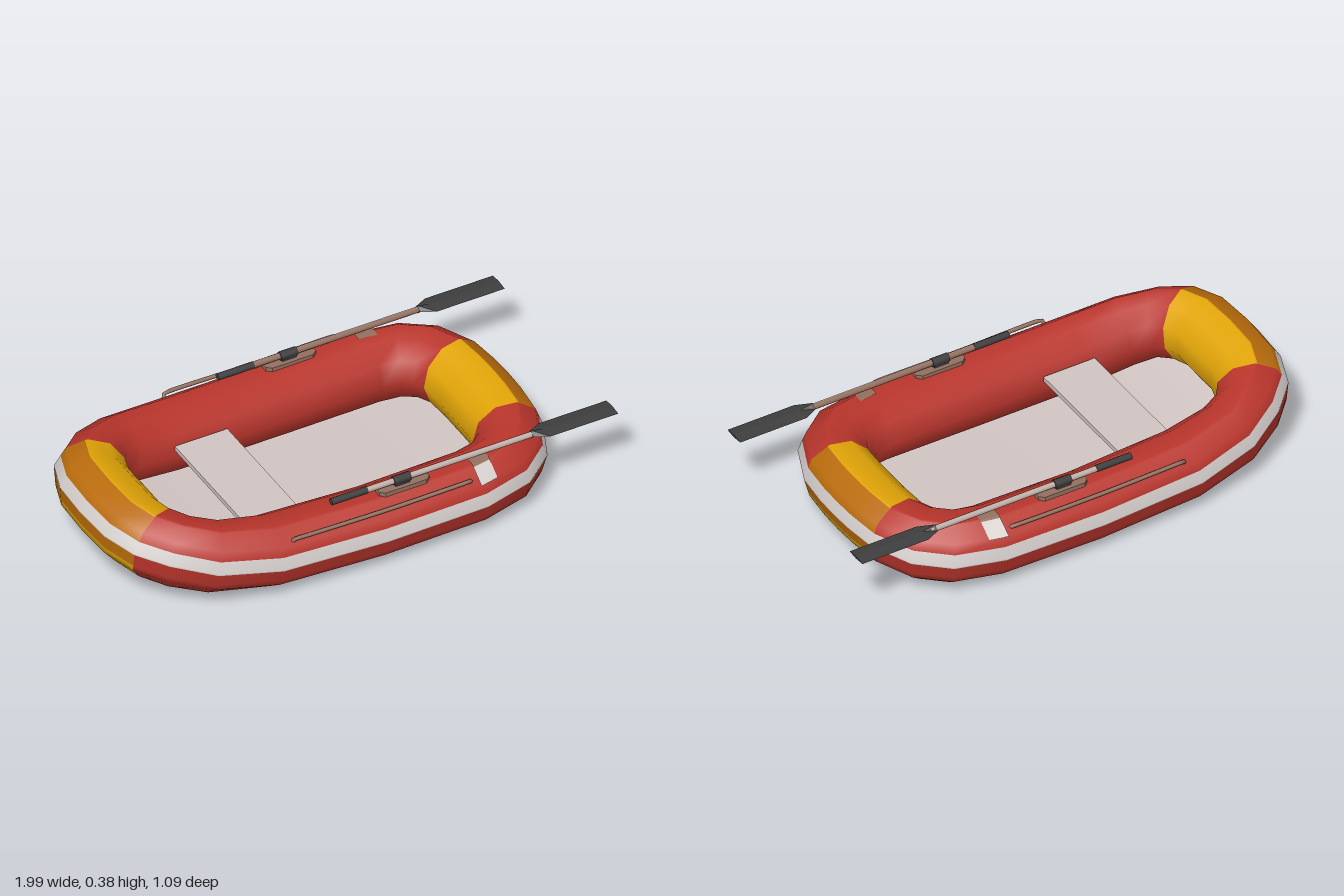
import * as THREE from 'three';

const mat = (name, color, side = THREE.FrontSide) => {
  const m = new THREE.MeshStandardMaterial({ color, side });
  m.name = name;
  return m;
};
const RAD = Math.PI / 180;
const R = 0.14; // tube half height

// Half outline from bow to stern: outer x, outer z, inner x, inner z
const half = [
  [-1, 0, -0.71, 0], [-0.99, 0.17, -0.712, 0.12], [-0.94, 0.305, -0.695, 0.18],
  [-0.84, 0.4, -0.665, 0.225], [-0.68, 0.485, -0.6, 0.245], [-0.43, 0.53, -0.42, 0.257],
  [0, 0.545, 0, 0.27], [0.42, 0.543, 0.42, 0.267], [0.62, 0.5, 0.49, 0.255],
  [0.745, 0.4, 0.53, 0.225], [0.818, 0.236, 0.55, 0.185], [0.833, 0.1, 0.555, 0.08], [0.836, 0, 0.555, 0],
];
const ring = [...half, ...half.slice(1, -1).reverse().map(([a, b, c, d]) => [a, -b, c, -d])];

// Height of the tube's centre line along the boat
const rise = [[-1, 0.283], [-0.86, 0.245], [-0.65, 0.187], [-0.45, 0.153], [0, 0.14], [0.45, 0.145], [0.69, 0.16], [1, 0.175]];
function centreY(x) {
  let i = 0;
  while (i < rise.length - 2 && x > rise[i + 1][0]) i++;
  const [[x0, y0], [x1, y1]] = [rise[i], rise[i + 1]];
  return y0 + ((y1 - y0) * (x - x0)) / (x1 - x0);
}

// Point of a station's section: out = share of half width, up = height; tilted with the rise
function sectionPoint([ox, oz, ix, iz], out, up) {
  const cx = (ox + ix) / 2, cz = (oz + iz) / 2;
  const tilt = Math.atan((centreY(cx + 0.06) - centreY(cx - 0.06)) / 0.12);
  const dx = ((ox - ix) / 2) * out, dz = ((oz - iz) / 2) * out;
  const c = Math.cos(tilt), s = Math.sin(tilt);
  return [cx + dx * c - up * s, centreY(cx) + dx * s + up * c, cz + dz];
}

// Point on a ten-sided section, with corners every 36 degrees
function decagon(deg) {
  const k = Math.floor(deg / 36), t = deg / 36 - k;
  const a = k * 36 * RAD, b = (k + 1) * 36 * RAD;
  return [Math.cos(a) * (1 - t) + Math.cos(b) * t, Math.sin(a) * (1 - t) + Math.sin(b) * t];
}

function surface(pos, idx) {
  const g = new THREE.BufferGeometry();
  g.setAttribute('position', new THREE.Float32BufferAttribute(pos, 3));
  g.setIndex(idx);
  g.computeVertexNormals();
  return g;
}

// Closed tube, with one geometry group per colour
function tubeGeometry() {
  const angles = [-144, -108, -72, -36, -26, -3, 0, 20, 36, 68, 72, 108, 144, 180];
  const n = angles.length, m = ring.length;
  const pos = [], faces = [[], [], [], []];
  ring.forEach((st) => angles.forEach((a) => {
    const [o, u] = decagon(a);
    pos.push(...sectionPoint(st, o, u * R));
  }));
  for (let i = 0; i < m; i++) {
    const patch = i < 2 || i >= m - 2 || (i >= 10 && i < 14);
    for (let j = 0; j < n; j++) {
      const from = angles[j];
      let colour = patch ? 1 : 0;
      if (patch && from >= -26 && from < 68) colour = 2;
      if (from >= -3 && from < 20) colour = 3;
      const i2 = (i + 1) % m, j2 = (j + 1) % n;
      const a = i * n + j, b = i2 * n + j, c = i2 * n + j2, d = i * n + j2;
      faces[colour].push(a, b, c, a, c, d);
    }
  }
  const g = surface(pos, faces.flat());
  let start = 0;
  faces.forEach((f, k) => { g.addGroup(start, f.length, k); start += f.length; });
  return g;
}

// Floor sheet between matching stations of both sides, facing up (1) or down (-1)
function floorGeometry(up, facing) {
  const pos = [], idx = [];
  half.forEach((st) => {
    const [x, y, z] = sectionPoint(st, -0.24, up);
    pos.push(x, y, z * facing, x, y, -z * facing);
  });
  for (let i = 0; i < half.length - 1; i++) {
    const a = i * 2;
    idx.push(a, a + 2, a + 1, a + 1, a + 2, a + 3);
  }
  return surface(pos, idx);
}

// Thin strip lying over the tube near the stern
function strapGeometry(degs, side) {
  const pos = [], idx = [];
  const ends = side > 0 ? [0.4, 0.475] : [0.475, 0.4];
  degs.forEach((d, i) => {
    const [o, u] = decagon(d);
    for (const x of ends) {
      const t = (x - 0.42) / 0.2;
      const st = half[7].map((v, k) => v + (half[8][k] - v) * t);
      const [, y, z] = sectionPoint(st, o * 1.035, u * (R + 0.005));
      pos.push(x, y, z * side);
    }
    if (i) {
      const a = (i - 1) * 2;
      idx.push(a, a + 1, a + 3, a, a + 3, a + 2);
    }
  });
  return surface(pos, idx);
}

// Blade of diamond section that flares from a thick socket into a thin plate
function bladeGeometry() {
  const g = new THREE.CylinderGeometry(1, 1, 2, 4, 2).rotateZ(-Math.PI / 2);
  const p = g.attributes.position;
  const stations = [[0.66, 0.018, 0.018], [0.715, 0.007, 0.045], [1, 0.005, 0.045]];
  for (let i = 0; i < p.count; i++) {
    const [x, hy, hz] = stations[Math.round(p.getX(i)) + 1];
    p.setXYZ(i, x, p.getY(i) * hy, p.getZ(i) * hz);
  }
  const flat = g.toNonIndexed();
  flat.computeVertexNormals();
  return flat;
}

export function createModel() {
  const red = mat('red rubber', 0xb9352c);
  const yellow = mat('yellow rubber', 0xe2a508);
  const orange = mat('orange rubber', 0xba6c0c);
  const white = mat('white stripe', 0xd6d0ce, THREE.DoubleSide);
  const grey = mat('grey floor', 0xd0c4c2, THREE.DoubleSide);
  const under = mat('brown underside', 0x8a716a, THREE.DoubleSide);
  const dark = mat('dark plastic', 0x3e3e3e);
  const brown = mat('brown fittings', 0x94705f, THREE.DoubleSide);
  const pale = mat('pale shaft', 0xc0b0aa, THREE.DoubleSide);

  const model = new THREE.Group();
  model.name = 'inflatableBoat';
  const add = (parent, name, geo, material, x = 0, y = 0, z = 0) => {
    const mesh = new THREE.Mesh(geo, material);
    mesh.name = name;
    mesh.position.set(x, y, z);
    parent.add(mesh);
    return mesh;
  };
  // Rod along x between two positions
  const rod = (parent, name, x0, x1, r, material) =>
    add(parent, name, new THREE.CylinderGeometry(r, r, x1 - x0, 10).rotateZ(Math.PI / 2), material, (x0 + x1) / 2);

  add(model, 'tube', tubeGeometry(), [red, yellow, orange, white]);
  add(model, 'floor', floorGeometry(-0.13, 1), grey);
  add(model, 'underside', floorGeometry(-0.136, -1), under);
  add(model, 'seat', new THREE.BoxGeometry(0.22, 0.02, 0.53), grey, -0.34, 0.19, 0);

  for (const side of [1, -1]) {
    const fittings = new THREE.Group();
    fittings.name = side > 0 ? 'leftFittings' : 'rightFittings';
    model.add(fittings);

    // Oar, its shaft pale outside and brown inside
    const oar = new THREE.Group();
    oar.name = 'oar';
    oar.position.set(0, 0.309, 0.43 * side);
    fittings.add(oar);
    rod(oar, 'grip', -0.18, -0.03, 0.014, dark);
    for (const [name, material, face] of [['shaftOuter', pale, side], ['shaftInner', brown, -side]]) {
      const shell = new THREE.CylinderGeometry(0.012, 0.012, 0.71, 6, 1, true, (-face * Math.PI) / 2, Math.PI);
      add(oar, name, shell.rotateZ(Math.PI / 2), material, 0.325);
    }
    rod(oar, 'sleeve', 0.08, 0.15, 0.017, dark);
    add(oar, 'blade', bladeGeometry(), dark);

    // Oar holder: a pad with clipped corners and the lock on it
    const padShape = new THREE.Shape([[-0.105, -0.014], [-0.085, -0.03], [0.085, -0.03], [0.105, -0.014], [0.105, 0.014], [0.085, 0.03], [-0.085, 0.03], [-0.105, 0.014]]
      .map(([x, y]) => new THREE.Vector2(x, y)));
    const pad = new THREE.ExtrudeGeometry(padShape, { depth: 0.018, bevelEnabled: false }).rotateX(-Math.PI / 2);
    add(fittings, 'holderPad', pad, brown, 0.12, 0.272, 0.43 * side);
    add(fittings, 'oarlock', new THREE.BoxGeometry(0.06, 0.03, 0.026), dark, 0.115, 0.296, 0.43 * side);

    // Grab rope with its ends turned into the tube
    const path = new THREE.CatmullRomCurve3(
      [[-0.375, 0.235, 0.485], [-0.365, 0.255, 0.5], [-0.34, 0.256, 0.502], [0, 0.25, 0.504], [0.34, 0.252, 0.504], [0.365, 0.251, 0.502], [0.375, 0.235, 0.485]]
        .map(([x, y, z]) => new THREE.Vector3(x, y, z * side)));
    add(fittings, 'grabRope', new THREE.TubeGeometry(path, 32, 0.008, 8), brown);

    // Strap patch beside the stern
    add(fittings, 'strapOuter', strapGeometry([36, 54, 67], side), white);
    add(fittings, 'strapInner', strapGeometry([67, 72, 90], side), brown);
  }
  return model;
}
